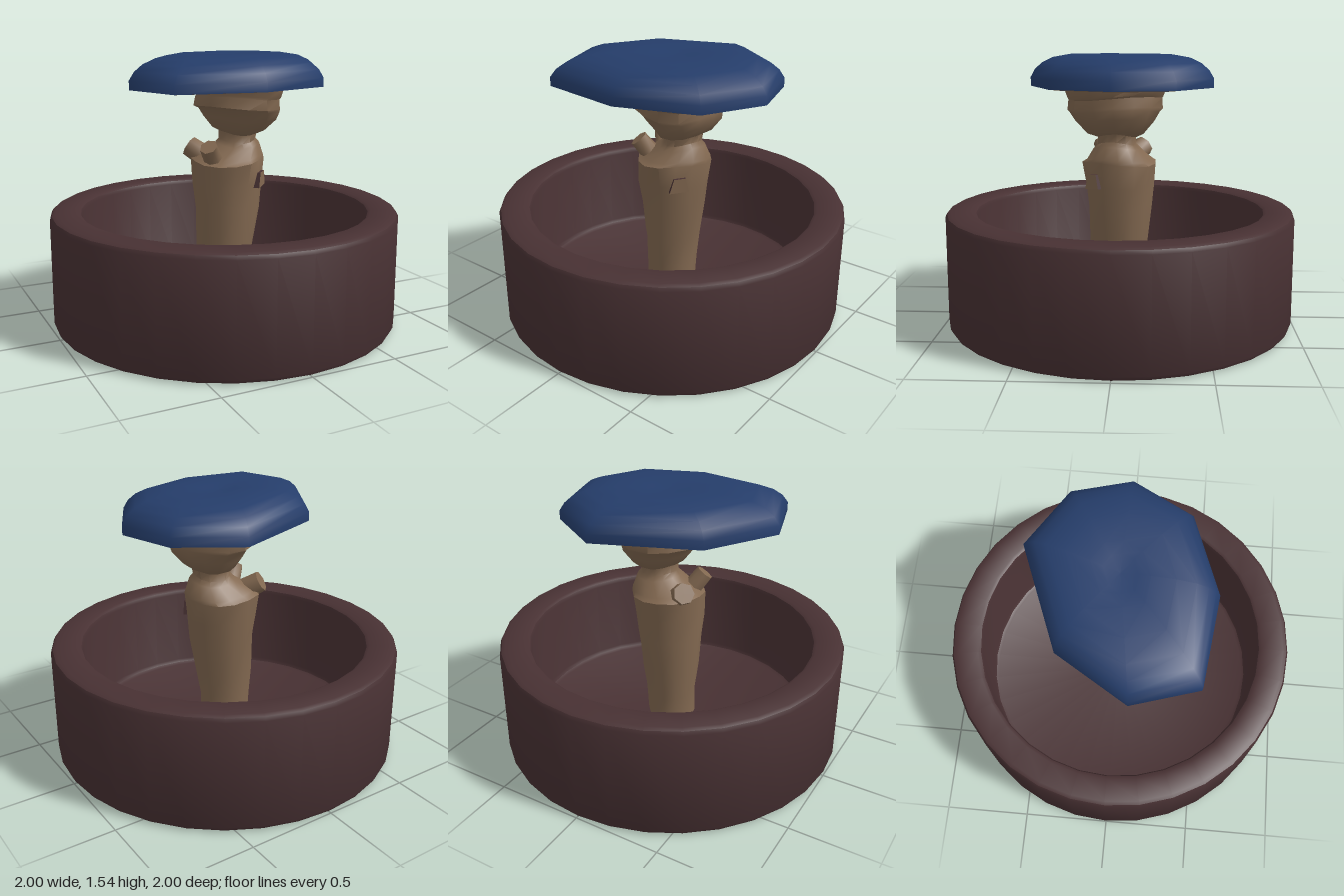
import * as THREE from 'three';
import { toCreasedNormals } from 'three/addons/utils/BufferGeometryUtils.js';

const paint = (name, color) => {
  const m = new THREE.MeshStandardMaterial({ color });
  m.name = name;
  return m;
};

// Skin over a stack of rings, listed so that the faces point outward
function loft(rings) {
  const n = rings[0].length, pos = [], index = [];
  rings.forEach(ring => ring.forEach(p => pos.push(...p)));
  for (let i = 0; i < rings.length - 1; i++) {
    for (let j = 0; j < n; j++) {
      const a = i * n + j, b = i * n + (j + 1) % n;
      index.push(a, a + n, b, b, a + n, b + n);
    }
  }
  const g = new THREE.BufferGeometry();
  g.setAttribute('position', new THREE.Float32BufferAttribute(pos, 3));
  g.setIndex(index);
  g.computeVertexNormals();
  return g;
}

export function createModel() {
  const group = new THREE.Group();
  const potMat = paint('dark maroon clay', 0x483133);
  const barkMat = paint('tan bark', 0x836951);
  const capMat = paint('deep blue cap', 0x253d6a);
  const add = (name, geometry, material) => {
    const mesh = new THREE.Mesh(geometry, material);
    mesh.name = name;
    group.add(mesh);
    return mesh;
  };

  // Round pot: outer wall, softened rim, inner wall and floor
  const potProfile = [
    [0, 0], [0.97, 0], [0.99, 0.01], [1, 0.03], [1, 0.63], [0.99, 0.65], [0.97, 0.66],
    [0.845, 0.66], [0.828, 0.65], [0.82, 0.63], [0.82, 0.15], [0.81, 0.13], [0.79, 0.12], [0, 0.12],
  ].map(p => new THREE.Vector2(...p));
  add('pot', toCreasedNormals(new THREE.LatheGeometry(potProfile, 32), 0.6), potMat);

  // Gnarled trunk: height, centre x, centre z, radius x, radius z
  const trunkRings = [
    [0.11, 0, 0, 0.14, 0.14], [0.28, 0, 0, 0.145, 0.145], [0.45, 0.005, 0, 0.165, 0.165],
    [0.66, 0.015, 0, 0.185, 0.185], [0.8, 0.015, 0, 0.2, 0.2], [0.93, 0.02, 0, 0.21, 0.215],
    [0.95, 0.035, 0, 0.195, 0.185], [1.02, 0.08, 0.01, 0.125, 0.135], [1.045, 0.08, 0.01, 0.105, 0.11],
    [1.09, 0.085, 0.01, 0.11, 0.11], [1.11, 0.09, 0.015, 0.15, 0.16], [1.18, 0.095, 0.02, 0.205, 0.22],
    [1.23, 0.085, 0.025, 0.225, 0.25], [1.245, 0.07, 0.025, 0.24, 0.265], [1.3, 0.07, 0.025, 0.235, 0.26],
    [1.31, 0.08, 0.025, 0.24, 0.265], [1.355, 0.08, 0.025, 0.245, 0.285],
  ].map(([y, cx, cz, rx, rz]) => Array.from({ length: 14 }, (_, j) => {
    const a = j / 14 * Math.PI * 2;
    const k = 1 + 0.035 * Math.sin(3 * a + 9 * y) + 0.02 * Math.sin(5 * a - 13 * y);
    return [cx + rx * k * Math.cos(a), y + 0.012 * Math.sin(2 * a + 7 * y), cz + rz * k * Math.sin(a)];
  }));
  add('trunk', toCreasedNormals(loft(trunkRings), 0.9), barkMat);

  // Cut branch stubs: position, direction, radius, length
  const up = new THREE.Vector3(0, 1, 0);
  const stub = (name, at, dir, radius, length, material) => {
    const g = toCreasedNormals(new THREE.CylinderGeometry(radius, radius * 1.1, length, 7), 1);
    const mesh = add(name, g, material);
    mesh.position.set(...at);
    mesh.quaternion.setFromUnitVectors(up, new THREE.Vector3(...dir).normalize());
  };
  stub('backBranchStub', [-0.12, 0.97, -0.1], [-0.6, 0.5, -0.6], 0.06, 0.13, barkMat);
  stub('sideBranchStub', [-0.12, 0.98, 0.09], [-0.5, 0.8, 0.4], 0.052, 0.13, barkMat);

  // Knot on the front left of the trunk, dark sides with a tan face
  const knotShape = new THREE.Shape([
    [-0.055, -0.045], [0.055, -0.035], [0.035, 0.045], [-0.03, 0.04],
  ].map(p => new THREE.Vector2(...p)));
  const knot = add('knot', new THREE.ExtrudeGeometry(knotShape, { depth: 0.06, bevelEnabled: false }), [barkMat, potMat]);
  knot.position.set(0.125, 0.83, 0.11);
  knot.rotation.y = Math.PI / 4;

  // Eight-cornered cap outline as x, z
  const outline = [
    [0.2, -0.52], [0.53, -0.31], [0.62, 0.02], [0.44, 0.35],
    [0, 0.51], [-0.49, 0.45], [-0.6, 0.09], [-0.36, -0.3],
  ];
  const capRing = ([s, y]) => outline.map(([x, z]) => [0.03 + (x - 0.03) * s, y, z * s]);

  // Domed cap with a shallow dent on top
  add('cap', loft([
    [1, 1.36], [1, 1.41], [0.95, 1.455], [0.87, 1.492], [0.75, 1.522],
    [0.55, 1.54], [0.3, 1.54], [0.18, 1.532], [0, 1.528],
  ].map(capRing)), capMat);

  // Tan underside of the cap
  add('capUnderside', loft([[0, 1.345], [0.5, 1.345], [0.85, 1.352], [1, 1.36]].map(capRing)), barkMat);

  return group;
}
